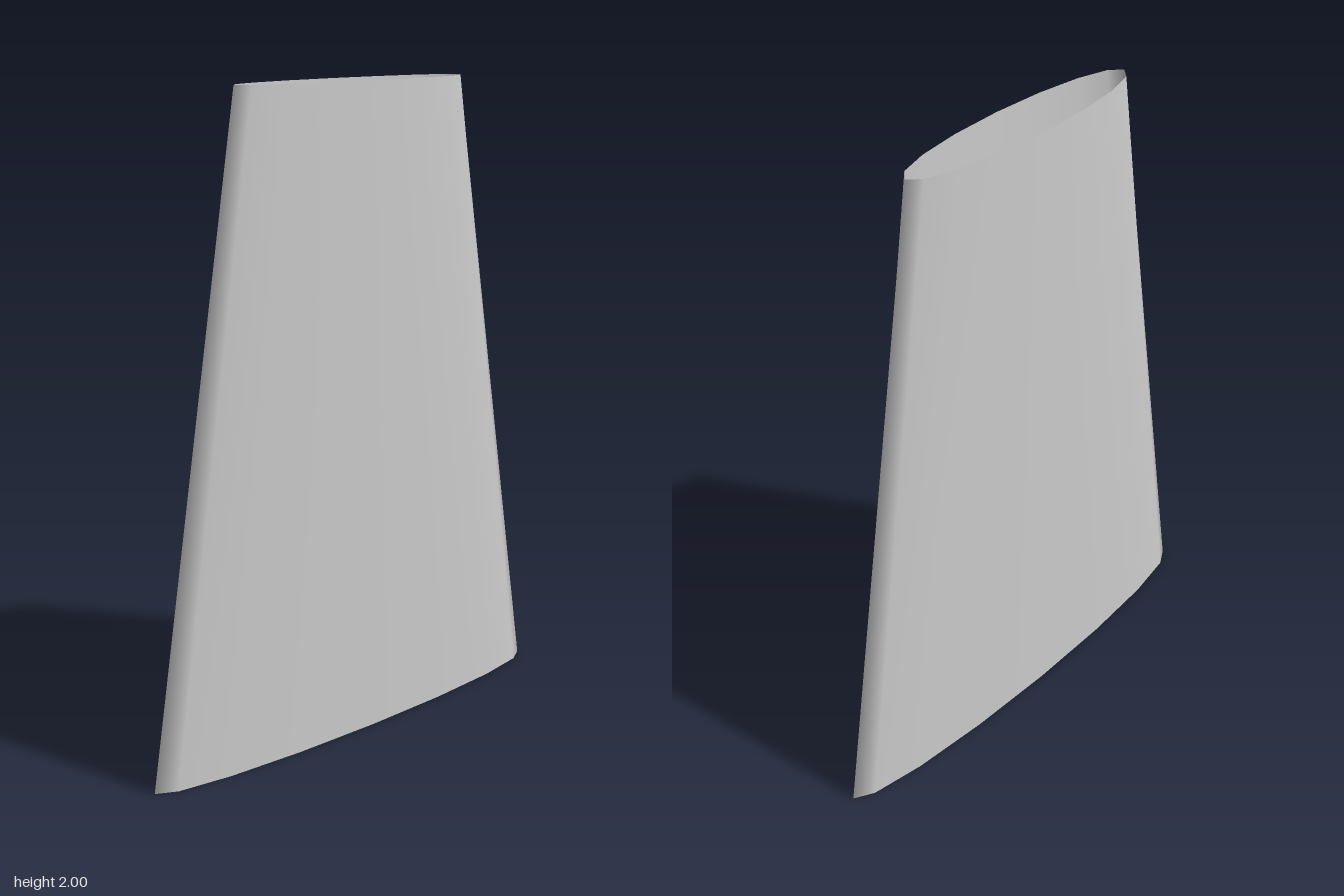
import * as THREE from 'three';

const HEIGHT = 2;
const BOTTOM = 0.8;   // half width at the foot
const TOP = 0.46;     // half width at the rim
const DEPTH = 0.09;   // half thickness, constant over the height

export function createModel() {
  const group = new THREE.Group();
  group.name = 'taperedSleeve';

  // Open 16-sided tube, flattened to an ellipse that narrows only in width
  const geometry = new THREE.CylinderGeometry(1, 1, HEIGHT, 16, 16, true);
  geometry.translate(0, HEIGHT / 2, 0);
  const position = geometry.attributes.position;
  const normal = geometry.attributes.normal;
  const slope = (TOP - BOTTOM) / HEIGHT;
  const n = new THREE.Vector3();
  for (let i = 0; i < position.count; i++) {
    const c = position.getX(i), y = position.getY(i), s = position.getZ(i);
    const width = BOTTOM + slope * y;
    position.setXYZ(i, c * width, y, s * DEPTH);
    // Smooth normal of the tapering ellipse
    n.set(c / width, -c * c * slope / width, s / DEPTH).normalize();
    normal.setXYZ(i, n.x, n.y, n.z);
  }

  const material = new THREE.MeshStandardMaterial({ color: 0xcccccc, side: THREE.DoubleSide });
  const sleeve = new THREE.Mesh(geometry, material);
  sleeve.name = 'sleeveWall';
  group.add(sleeve);
  return group;
}
